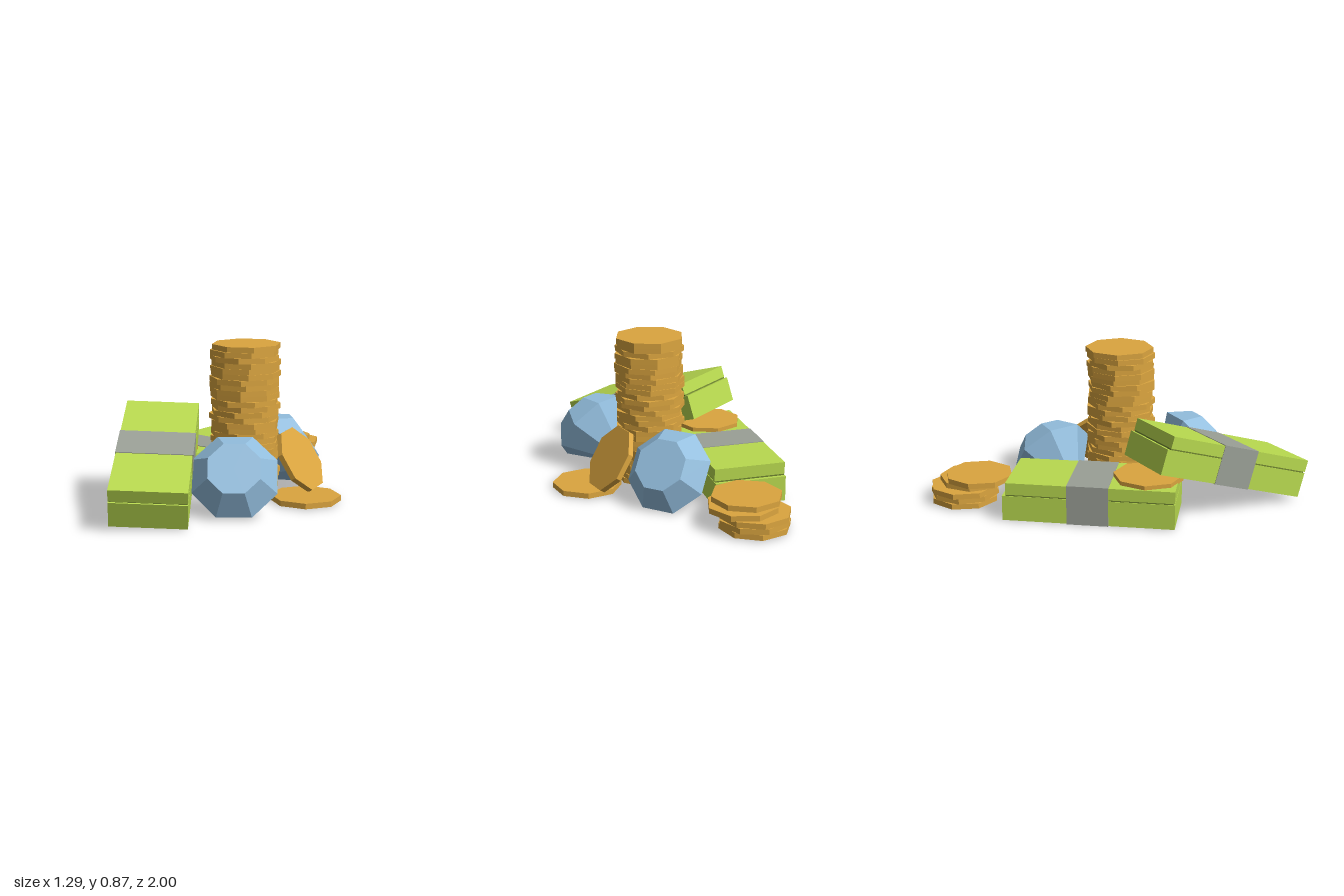
import * as THREE from 'three';

const mat = (color) => new THREE.MeshStandardMaterial({ color, flatShading: true });

export function createModel() {
  const model = new THREE.Group();
  const gold = mat(0xdba53f), green = mat(0xb8d94f), dark = mat(0x6f8530);
  const grey = mat(0x9a9f96), blue = mat(0x92bddd);

  // Small seeded generator for the uneven stacking, -1..1
  let seed = 7;
  const jitter = () => {
    seed = (seed * 16807) % 2147483647;
    return (seed / 2147483647) * 2 - 1;
  };

  // Eight-sided coin
  const THICK = 0.031;
  const coinGeo = new THREE.CylinderGeometry(0.198, 0.198, THICK, 8);
  const coin = (name, x, y, z, turn = 0, parent = model) => {
    const m = new THREE.Mesh(coinGeo, gold);
    m.name = name;
    m.position.set(x, y, z);
    m.rotation.y = turn;
    parent.add(m);
    return m;
  };

  // Tall coin stack
  const stack = new THREE.Group();
  stack.name = 'coinStack';
  for (let i = 0; i < 28; i++) {
    coin('stackCoin', 0.092 + jitter() * 0.009, 0.036 + i * 0.0307,
      0.11 + jitter() * 0.009, jitter() * 0.4, stack);
  }
  model.add(stack);

  // Low coin pile at the back
  const pile = new THREE.Group();
  pile.name = 'smallCoinPile';
  [[0.31, -0.8, 0.05], [0.315, -0.797, 0.25], [0.308, -0.802, 0.1], [0.33, -0.735, 0.3], [0.275, -0.72, 0.1]]
    .forEach(([x, z, turn], i) => coin('pileCoin', x, 0.04 + i * THICK, z, turn, pile));
  model.add(pile);

  // Loose coins: on the ground, on the flat bundle and leaning on the stack
  coin('groundCoin', 0.443, 0.035, 0.29);
  coin('bundleCoin', -0.38, 0.25, 0.045, 0.2);
  const leaning = coin('leaningCoin', 0.41, 0.215, 0.13);
  leaning.quaternion.setFromUnitVectors(
    new THREE.Vector3(0, 1, 0), new THREE.Vector3(0.77, 0.52, 0.37).normalize());

  // Banknote bundle: thick lower layer, thin upper layer, paper band
  const bundle = (name) => {
    const g = new THREE.Group();
    g.name = name;
    const box = (part, w, h, d, y, z, m) => {
      const mesh = new THREE.Mesh(new THREE.BoxGeometry(w, h, d), m);
      mesh.name = part;
      mesh.position.set(0, y, z);
      g.add(mesh);
    };
    box('lowerNotes', 0.412, 0.145, 0.97, -0.0385, 0, green);
    box('noteGap', 0.404, 0.012, 0.94, 0.038, 0.006, dark);
    box('upperNotes', 0.412, 0.069, 0.95, 0.0765, 0.01, green);
    box('paperBand', 0.418, 0.228, 0.235, 0, -0.002, grey);
    g.rotation.order = 'YXZ';
    model.add(g);
    return g;
  };
  const flat = bundle('flatBundle');
  flat.position.set(-0.2, 0.131, -0.21);
  flat.rotation.y = -0.607;
  const tilted = bundle('tiltedBundle');
  tilted.position.set(-0.375, 0.285, 0.497);
  tilted.rotation.set(0.314, 0.02, -0.035);

  // Cut gem, pointed tip at the origin and flat table toward +z
  const profile = [[0, 0], [0.25, 0.34], [0.152, 0.463], [0, 0.463]]
    .map(([r, y]) => new THREE.Vector2(r, y));
  const gemGeo = new THREE.LatheGeometry(profile, 8, Math.PI / 8).rotateX(Math.PI / 2);
  const gem = (name, tip, axis) => {
    const m = new THREE.Mesh(gemGeo, blue);
    m.name = name;
    m.lookAt(new THREE.Vector3(...axis));
    m.position.set(...tip);
    model.add(m);
  };
  gem('frontGem', [0.052, 0.03, 0.31], [0.02, 0.57, 0.82]);
  gem('sideGem', [0.06, 0.015, -0.18], [0.37, 0.26, -0.07]);

  return model;
}
